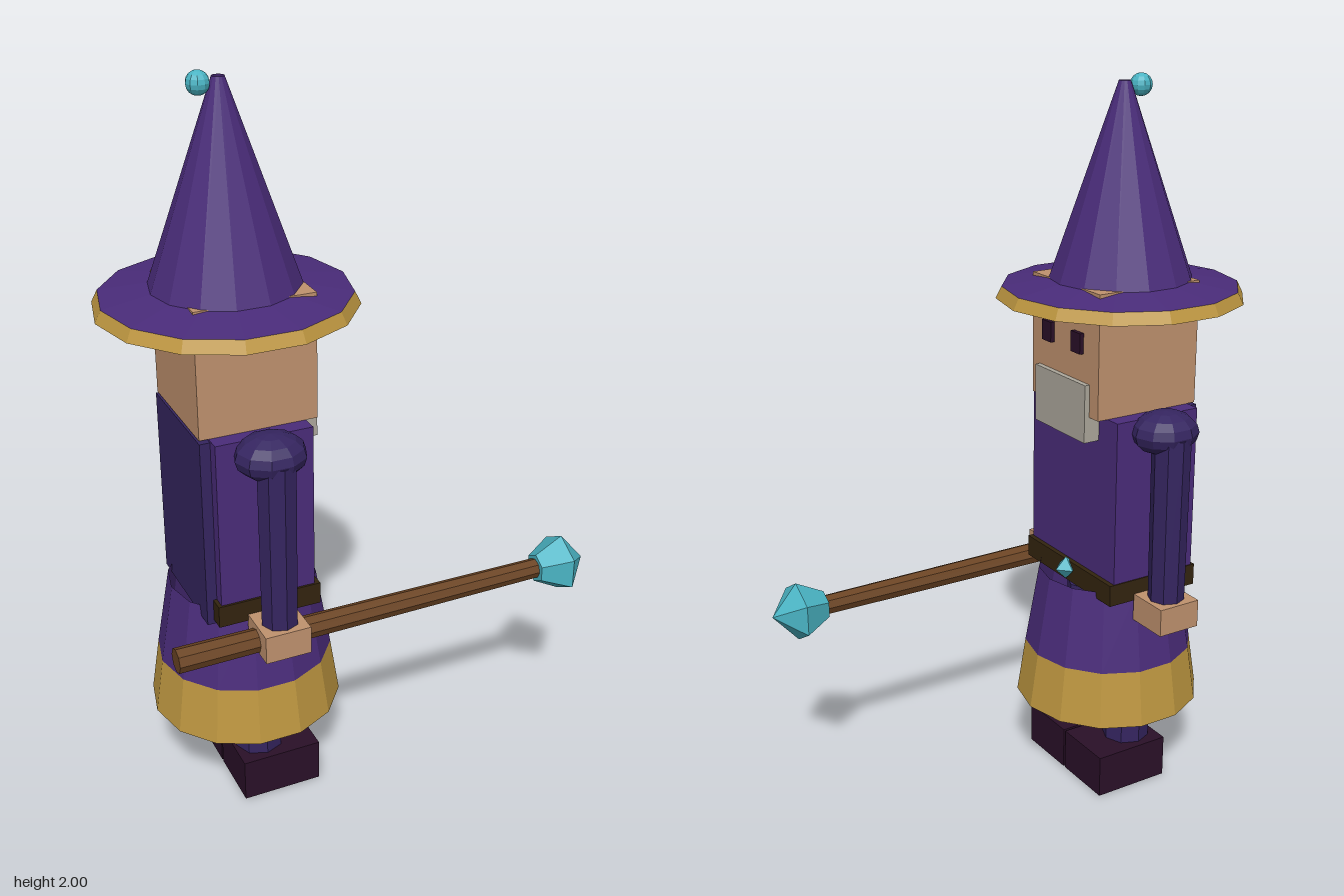
import * as THREE from 'three';

const mat = (name, color, open = false) => {
  const m = new THREE.MeshStandardMaterial({ color, flatShading: true });
  m.name = name;
  if (open) m.side = THREE.DoubleSide;
  return m;
};

export function createModel() {
  const root = new THREE.Group();
  root.name = 'wizard';
  const purple = mat('robe purple', 0x4a2c7a, true);
  const gold = mat('gold trim', 0xbd9640, true);
  const indigo = mat('sleeve indigo', 0x352560);
  const skin = mat('skin', 0xc0926e);
  const grey = mat('beard grey', 0xada89c);
  const wood = mat('staff wood', 0x6b4423);
  const leather = mat('belt leather', 0x33240f);
  const dark = mat('boot dark', 0x2a1028);
  const teal = mat('crystal teal', 0x4ab4c4);

  const add = (name, geometry, material, x, y, z) => {
    const mesh = new THREE.Mesh(geometry, material);
    mesh.name = name;
    mesh.position.set(x, y, z);
    root.add(mesh);
    return mesh;
  };
  // Box given by its lower and upper corners
  const box = (name, material, [x0, y0, z0], [x1, y1, z1]) =>
    add(name, new THREE.BoxGeometry(x1 - x0, y1 - y0, z1 - z0), material,
      (x0 + x1) / 2, (y0 + y1) / 2, (z0 + z1) / 2);
  // Open tapered ring between two heights, with a corner on the x axis
  const ring = (name, material, x, y0, r0, y1, r1, z = -0.005) =>
    add(name, new THREE.CylinderGeometry(r1, r0, y1 - y0, 14, 1, true).rotateY(Math.PI / 2),
      material, x, (y0 + y1) / 2, z);

  // Head, facing +x
  box('head', skin, [-0.45, 1.135, -0.165], [-0.13, 1.475, 0.155]);
  box('beard', grey, [-0.165, 1.065, -0.125], [-0.115, 1.225, 0.118]);
  for (const z of [0.068, -0.072])
    box('eye', dark, [-0.14, 1.302, z - 0.022], [-0.118, 1.358, z + 0.022]);

  // Hat
  ring('hatBrimTrim', gold, -0.307, 1.42, 0.338, 1.452, 0.322);
  ring('hatBrim', purple, -0.307, 1.452, 0.322, 1.472, 0.195);
  ring('hatCone', purple, -0.307, 1.472, 0.195, 1.985, 0.016);
  add('hatBead', new THREE.SphereGeometry(0.03, 10, 8), teal, -0.357, 1.972, -0.008);

  // Torso, cape and belt
  box('torso', purple, [-0.425, 0.62, -0.21], [-0.162, 1.135, 0.2]);
  box('cape', indigo, [-0.453, 0.6, -0.17], [-0.423, 1.13, 0.165]);
  box('belt', leather, [-0.435, 0.612, -0.213], [-0.148, 0.673, 0.206]);
  add('beltGem', new THREE.OctahedronGeometry(0.034), teal, -0.142, 0.652, -0.004);

  // Skirt
  ring('skirtTrim', gold, -0.29, 0.24, 0.266, 0.4, 0.242);
  ring('skirt', purple, -0.29, 0.4, 0.242, 0.63, 0.203);

  // Paired limbs
  for (const side of [1, -1]) {
    const at = (z) => side * z - 0.004;
    add('leg', new THREE.CylinderGeometry(0.068, 0.068, 0.42, 8), indigo, -0.293, 0.33, at(0.097));
    add('boot', new THREE.BoxGeometry(0.226, 0.123, 0.18), dark, -0.257, 0.0615, at(0.094));
    add('arm', new THREE.CylinderGeometry(0.053, 0.05, 0.47, 8), indigo, -0.291, 0.86, at(0.271));
    add('shoulder', new THREE.SphereGeometry(0.095, 10, 8).scale(1, 0.63, 0.9), indigo,
      -0.293, 1.1, at(0.238));
    add('hand', new THREE.BoxGeometry(0.126, 0.078, 0.125), skin, -0.292, 0.592, at(0.27));
  }

  // Staff held level, with a crystal on its front end
  add('staff', new THREE.CylinderGeometry(0.028, 0.034, 1.08, 8).rotateZ(-Math.PI / 2),
    wood, -0.035, 0.585, 0.261);
  const crystal = [[0, -0.08], [0.042, -0.08], [0.085, 0], [0, 0.073]]
    .map(([r, y]) => new THREE.Vector2(r, y));
  add('staffCrystal', new THREE.LatheGeometry(crystal, 6).rotateY(Math.PI / 2).rotateZ(-Math.PI / 2),
    teal, 0.567, 0.585, 0.263);

  return root;
}
